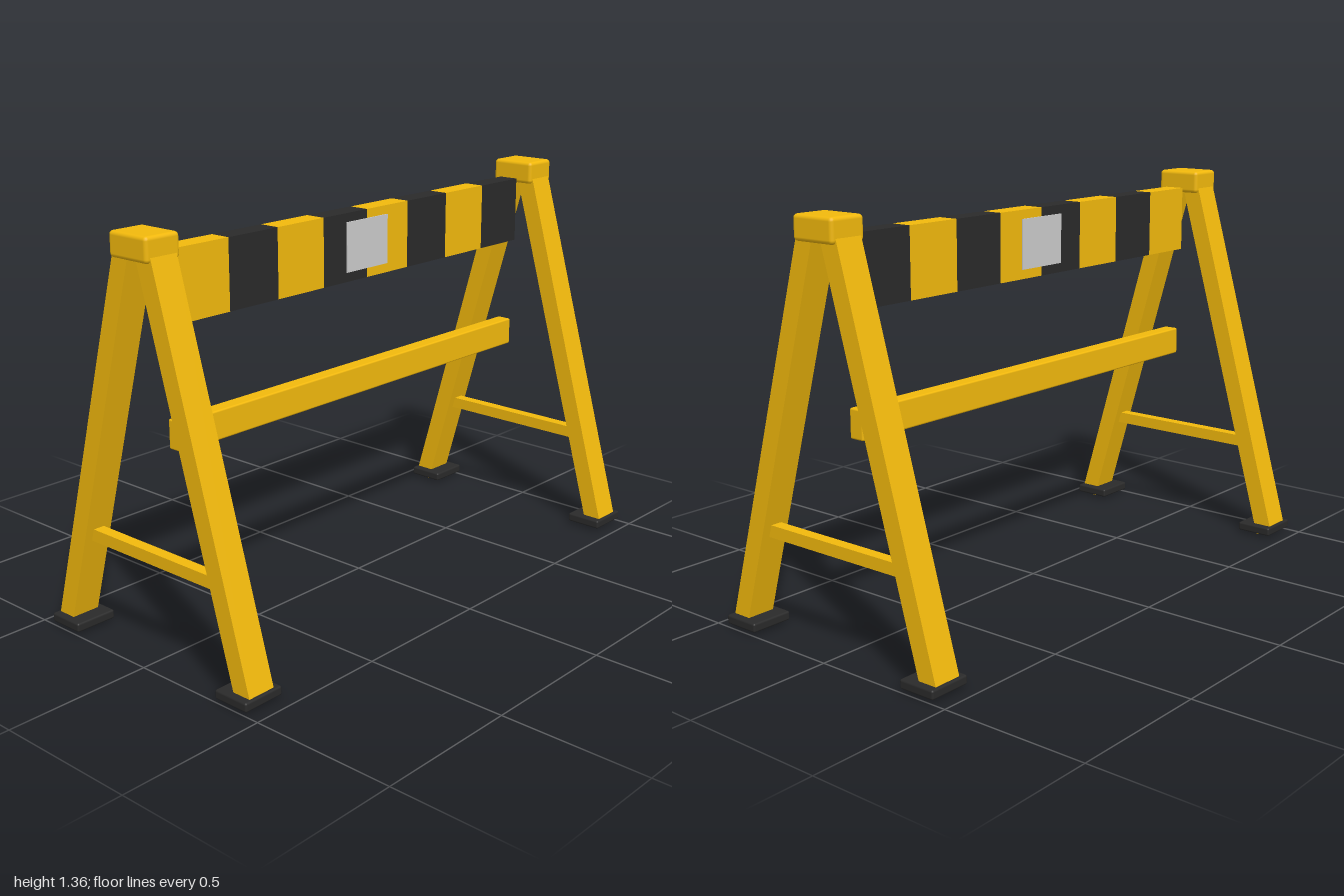
import * as THREE from 'three';
import { RoundedBoxGeometry } from 'three/addons/geometries/RoundedBoxGeometry.js';

const yellow = new THREE.MeshStandardMaterial({ color: 0xf2b90c });
const black = new THREE.MeshStandardMaterial({ color: 0x2a2a2a });
const grey = new THREE.MeshStandardMaterial({ color: 0xcccccc });

// Box of size [w, h, d] at a position; a radius rounds its edges
function box(parent, name, material, size, position, radius = 0) {
  const geometry = radius
    ? new RoundedBoxGeometry(...size, 2, radius)
    : new THREE.BoxGeometry(...size);
  const mesh = new THREE.Mesh(geometry, material);
  mesh.name = name;
  mesh.position.set(...position);
  parent.add(mesh);
  return mesh;
}

// A-shaped end frame: two splayed legs with feet, a brace and a cap
function endFrame(name) {
  const frame = new THREE.Group();
  frame.name = name;
  const bottom = new THREE.Vector2(0.418, 0.009); // leg axis as (z, y)
  const top = new THREE.Vector2(0.043, 1.318);
  const length = bottom.distanceTo(top);
  const tilt = Math.atan2(bottom.x - top.x, top.y - bottom.y);
  for (const s of [1, -1]) {
    const end = s > 0 ? 'front' : 'back';
    const leg = box(frame, end + 'Leg', yellow, [0.1, length, 0.065],
      [0, (bottom.y + top.y) / 2, s * (bottom.x + top.x) / 2]);
    leg.rotation.x = -s * tilt;
    box(frame, end + 'Foot', black, [0.15, 0.031, 0.132], [0, 0.026, s * 0.387], 0.007);
  }
  box(frame, 'crossBrace', yellow, [0.04, 0.041, 0.605], [0, 0.345, 0]);
  box(frame, 'cap', yellow, [0.13, 0.08, 0.165], [0, 1.32, 0], 0.013);
  return frame;
}

export function createModel() {
  const model = new THREE.Group();
  model.name = 'barricade';

  for (const s of [1, -1]) {
    const frame = endFrame(s > 0 ? 'leftFrame' : 'rightFrame');
    frame.position.x = s * 0.925;
    model.add(frame);
  }

  // Striped board, alternating blocks
  const board = new THREE.Group();
  board.name = 'stripedBoard';
  model.add(board);
  const count = 8, width = 1.676 / count;
  for (let i = 0; i < count; i++) {
    box(board, 'stripe', i % 2 ? black : yellow, [width, 0.23, 0.072],
      [(i - (count - 1) / 2) * width, 1.185, 0]);
  }

  // Reflector plates on both faces
  for (const s of [1, -1]) {
    box(model, s > 0 ? 'frontReflector' : 'backReflector', grey,
      [0.203, 0.168, 0.006], [0, 1.186, s * 0.037]);
  }

  box(model, 'lowerRail', yellow, [1.676, 0.097, 0.055], [0, 0.716, 0], 0.006);
  return model;
}
